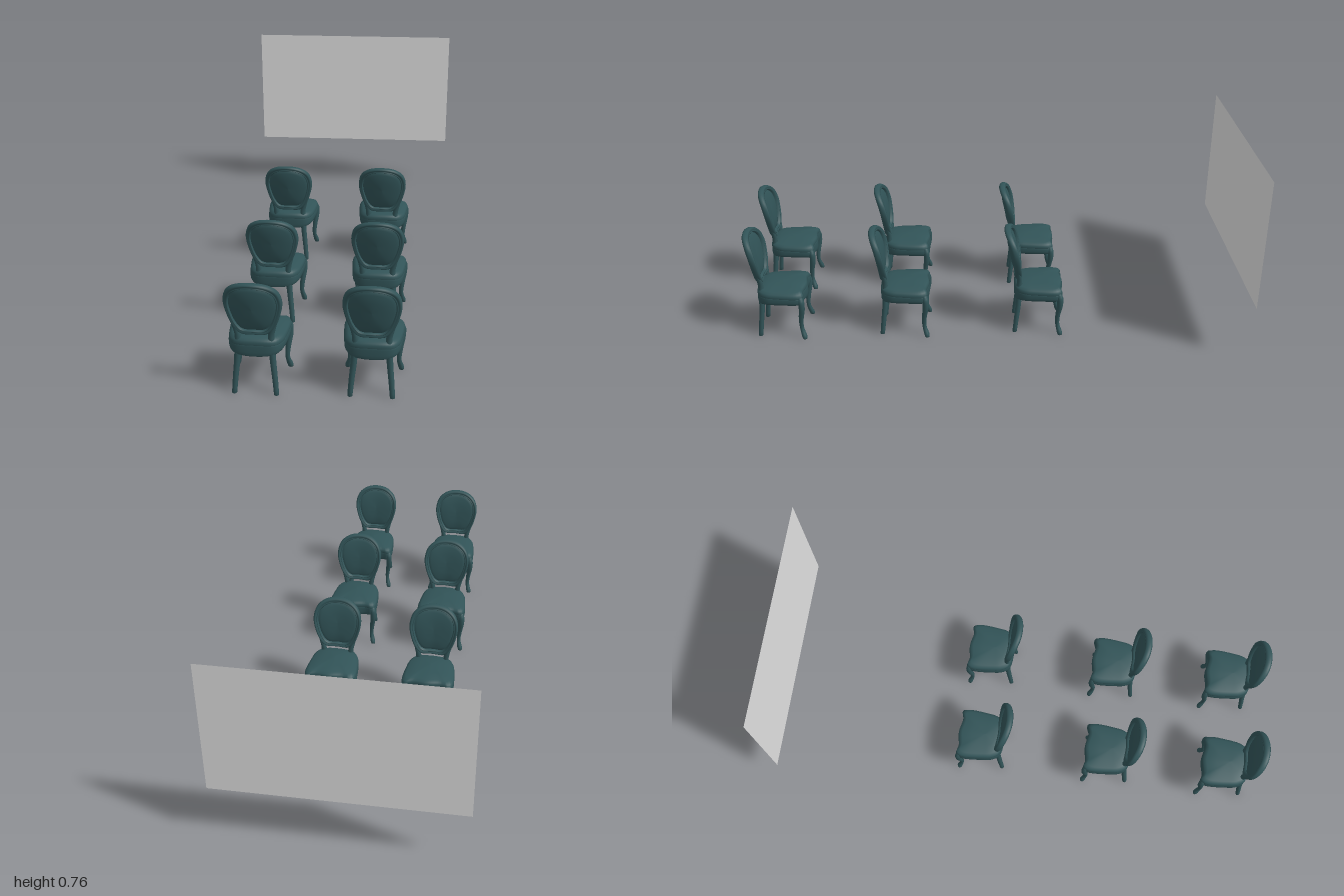
import * as THREE from 'three';

const upholstery = new THREE.MeshStandardMaterial({ color: 0x315357 });
upholstery.name = 'dark teal';
const panel = new THREE.MeshStandardMaterial({ color: 0xe0e0e0, side: THREE.DoubleSide });
panel.name = 'screen pale grey';

// Skin a list of closed rings; wrap joins the last ring to the first
function loft(rings, wrap = false) {
  const n = rings[0].length, m = rings.length, index = [];
  for (let i = 0; i < (wrap ? m : m - 1); i++) {
    for (let j = 0; j < n; j++) {
      const k = (j + 1) % n, i2 = (i + 1) % m;
      const a = i * n + j, b = i * n + k, c = i2 * n + k, d = i2 * n + j;
      index.push(a, d, b, b, d, c);
    }
  }
  const g = new THREE.BufferGeometry();
  g.setAttribute('position', new THREE.Float32BufferAttribute(rings.flat(2), 3));
  g.setIndex(index);
  g.computeVertexNormals();
  return g;
}

// Smooth symmetric outline from the points of its +x half
function outline(half, count) {
  const other = half.slice(1, -1).reverse().map(([x, y]) => [-x, y]);
  const pts = [...half, ...other].map(([x, y]) => new THREE.Vector3(x, y, 0));
  return new THREE.CatmullRomCurve3(pts, true).getSpacedPoints(count).slice(0, count);
}

// Round limb through [x, y, z, radius] stations, from the bottom up
function limb(stations, side) {
  const curve = new THREE.CatmullRomCurve3(stations.map(([x, y, z]) => new THREE.Vector3(x * side, y, z)));
  const steps = 20, last = stations.length - 1, rings = [];
  const ring = (p, r) => Array.from({ length: 12 }, (_, j) => {
    const a = j / 12 * Math.PI * 2;
    return [p.x + r * Math.cos(a), p.y, p.z + r * Math.sin(a)];
  });
  for (let i = 0; i <= steps; i++) {
    const t = i / steps, s = Math.min(Math.floor(t * last), last - 1), f = t * last - s;
    const r = THREE.MathUtils.lerp(stations[s][3], stations[s + 1][3], f);
    const p = curve.getPoint(t);
    if (i === 0) rings.push(ring(p, 0));
    rings.push(ring(p, r));
    if (i === steps) rings.push(ring(p, 0));
  }
  return loft(rings);
}

// Seat plan, front (-z) to back; each ring rises by lift towards the sides
const seatPlan = outline([[0, -0.116], [0.06, -0.107], [0.092, -0.113], [0.104, -0.095],
  [0.1, 0], [0.092, 0.04], [0.07, 0.07], [0, 0.08]], 64);
const seatLoft = (profile) => loft(profile.map(([s, y, lift]) => seatPlan.map((p) => {
  const x = p.x * s;
  return [x, y + lift * (x / 0.1) ** 2, p.y * s];
})));

// Oval back outline, bottom to top
const backPlan = outline([[0, 0.229], [0.048, 0.231], [0.072, 0.257], [0.091, 0.305],
  [0.099, 0.36], [0.086, 0.405], [0.052, 0.432], [0, 0.441]], 64);
// Back leans to the rear and wraps around the sitter
const backLoft = (profile, wrap) => loft(profile.map(([s, dz]) => backPlan.map((p) => {
  const x = p.x * s, y = 0.335 + (p.y - 0.335) * s;
  return [x, y, 0.064 + 0.2 * (y - 0.22) - 2 * x * x + dz];
})), wrap);

const parts = [
  ['seatApron', seatLoft([[0, 0.165, 0], [0.8, 0.163, 0], [0.85, 0.149, 0.011], [0.96, 0.146, 0.011],
    [0.99, 0.15, 0.011], [1, 0.163, 0.006], [1, 0.184, -0.003], [0.985, 0.19, -0.005]])],
  ['seatCushion', seatLoft([[0.975, 0.188, -0.005], [0.995, 0.192, -0.005], [0.985, 0.201, -0.006],
    [0.95, 0.208, -0.006], [0.85, 0.214, -0.006], [0.5, 0.219, -0.006], [0, 0.22, 0]])],
  ['backFrame', backLoft([[1, 0.005], [1, -0.005], [0.97, -0.011], [0.92, -0.014], [0.88, -0.008],
    [0.865, -0.012], [0.84, -0.012], [0.81, -0.005], [0.81, 0.005], [0.84, 0.012],
    [0.865, 0.012], [0.88, 0.008], [0.92, 0.014], [0.97, 0.011]], true)],
  ['backCushion', backLoft([[0, 0.012], [0.4, 0.012], [0.7, 0.008], [0.83, 0.002],
    [0.83, -0.002], [0.7, -0.008], [0.4, -0.012], [0, -0.012]])],
];

// Curved front legs and splayed rear legs that run up into the back
const frontLeg = [[0.096, 0, -0.107, 0.009], [0.094, 0.012, -0.105, 0.011], [0.087, 0.045, -0.096, 0.008],
  [0.09, 0.09, -0.097, 0.01], [0.096, 0.135, -0.104, 0.012], [0.096, 0.17, -0.104, 0.013], [0.092, 0.19, -0.1, 0.009]];
const rearLeg = [[0.073, 0, 0.077, 0.009], [0.068, 0.06, 0.07, 0.01], [0.062, 0.12, 0.063, 0.011],
  [0.058, 0.18, 0.06, 0.012], [0.057, 0.22, 0.059, 0.011], [0.064, 0.25, 0.061, 0.01], [0.074, 0.28, 0.065, 0.008]];
for (const [side, label] of [[1, 'left'], [-1, 'right']]) {
  parts.push([label + 'FrontLeg', limb(frontLeg, side)], [label + 'RearLeg', limb(rearLeg, side)]);
}

function makeChair() {
  const chair = new THREE.Group();
  for (const [name, geometry] of parts) {
    const mesh = new THREE.Mesh(geometry, upholstery);
    mesh.name = name;
    chair.add(mesh);
  }
  return chair;
}

export function createModel() {
  const model = new THREE.Group();
  model.name = 'screeningRoom';

  // Three rows of two chairs facing the screen
  [0.88, 0.385, -0.155].forEach((z, row) => {
    [[-0.226, 0, 'right'], [0.171, -0.007, 'left']].forEach(([x, dz, label]) => {
      const chair = makeChair();
      chair.name = `${label}ChairRow${row + 1}`;
      chair.position.set(x, 0, z + dz);
      chair.rotation.y = -0.03;
      model.add(chair);
    });
  });

  // Flat screen on the far side
  const screen = new THREE.Mesh(new THREE.PlaneGeometry(0.925, 0.535), panel);
  screen.name = 'screen';
  screen.position.set(0, 0.493, -1);
  model.add(screen);
  return model;
}
